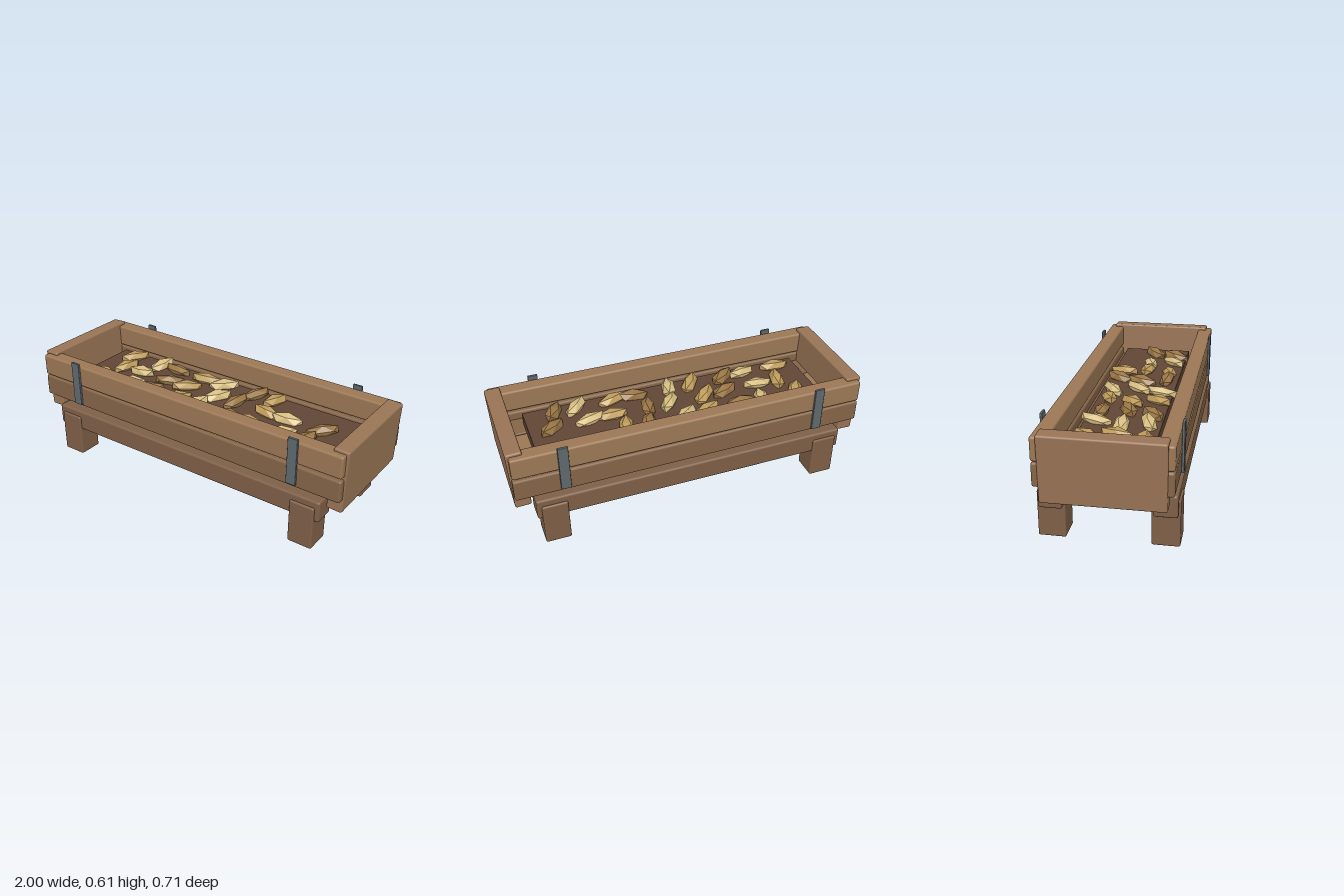
import * as THREE from 'three';
import { RoundedBoxGeometry } from 'three/addons/geometries/RoundedBoxGeometry.js';

const mat = (color, flatShading = false) => new THREE.MeshStandardMaterial({ color, flatShading });
const panelWood = mat(0x997455);
const lightWood = mat(0x9c7855);
const midWood = mat(0x856548);
const darkWood = mat(0x7f6047);
const metal = mat(0x5f696e);
const earth = mat(0x614636);
const grainColors = [mat(0xd8be82, true), mat(0xbf9c5b, true), mat(0x9a7645, true)];

export function createModel() {
  const model = new THREE.Group();
  model.name = 'trough';

  // Softly rounded box placed by its centre
  const box = (name, material, size, pos, radius = 0.01) => {
    const mesh = new THREE.Mesh(new RoundedBoxGeometry(...size, 2, radius), material);
    mesh.name = name;
    mesh.position.set(...pos);
    model.add(mesh);
    return mesh;
  };

  for (const s of [1, -1]) {
    // End panels lean slightly outward
    const end = box('endPanel', panelWood, [0.086, 0.35, 0.61], [s * 0.95, 0.426, 0]);
    end.rotation.z = -s * 0.04;

    // Side planks, the lower one a little crooked
    box('upperSidePlank', lightWood, [1.97, 0.125, 0.085], [0, 0.523, s * 0.295], 0.012);
    const lower = box('lowerSidePlank', midWood, [1.97, 0.125, 0.085], [0, 0.389, s * 0.294], 0.012);
    lower.rotation.z = -0.004;

    // Base rails and outer floor boards
    box('baseRail', darkWood, [1.77, 0.12, 0.119], [0, 0.228, s * 0.282], 0.012);
    box('outerFloorBoard', midWood, [1.82, 0.07, 0.142], [0, 0.366, s * 0.183], 0.006);

    // Legs and metal straps at both ends
    for (const x of [1, -1]) {
      box('leg', darkWood, [0.14, 0.25, 0.142], [x * 0.79, 0.125, s * 0.282]);
      box('strap', metal, [0.055, 0.263, 0.014], [x * 0.72, 0.4745, s * 0.345], 0.003);
    }
  }

  // Middle floor board and the bed of feed
  box('middleFloorBoard', lightWood, [1.82, 0.07, 0.208], [0, 0.366, 0], 0.006);
  box('feedBed', earth, [1.65, 0.07, 0.41], [0, 0.43, 0], 0.004);

  // Faceted grains in three rows: [x, heading in degrees, shade]
  const rows = [
    [-0.135, [[-0.685, 55, 1], [-0.475, 78, 0], [-0.35, -2, 2], [-0.14, 20, 1], [-0.015, 38, 0],
      [0.2, 62, 2], [0.325, 75, 1]]],
    [0.003, [[-0.64, 75, 1], [-0.515, 2, 0], [-0.305, 25, 2], [-0.18, 45, 1], [0.03, 55, 0],
      [0.155, 75, 2], [0.365, -5, 1], [0.49, 12, 0], [0.7, 40, 2]]],
    [0.14, [[-0.685, -5, 1], [-0.475, 18, 0], [-0.35, 38, 2], [-0.145, 55, 1], [-0.015, 78, 0],
      [0.2, -5, 2], [0.325, 15, 1], [0.535, 45, 0], [0.66, 62, 2]]],
  ];
  const grainShape = new THREE.IcosahedronGeometry(1, 0).rotateX(Math.PI / 2).scale(0.1, 0.036, 0.043);
  const grains = new THREE.Group();
  grains.name = 'grains';
  for (const [z, row] of rows) {
    row.forEach(([x, angle, shade], i) => {
      const grain = new THREE.Mesh(grainShape, grainColors[shade]);
      grain.name = 'grain';
      grain.position.set(x, 0.477, z);
      grain.rotation.set(0.3 * Math.sin(i * 2.1), THREE.MathUtils.degToRad(angle), 0.12 * Math.sin(i * 1.7), 'YXZ');
      grains.add(grain);
    });
  }
  model.add(grains);

  return model;
}
